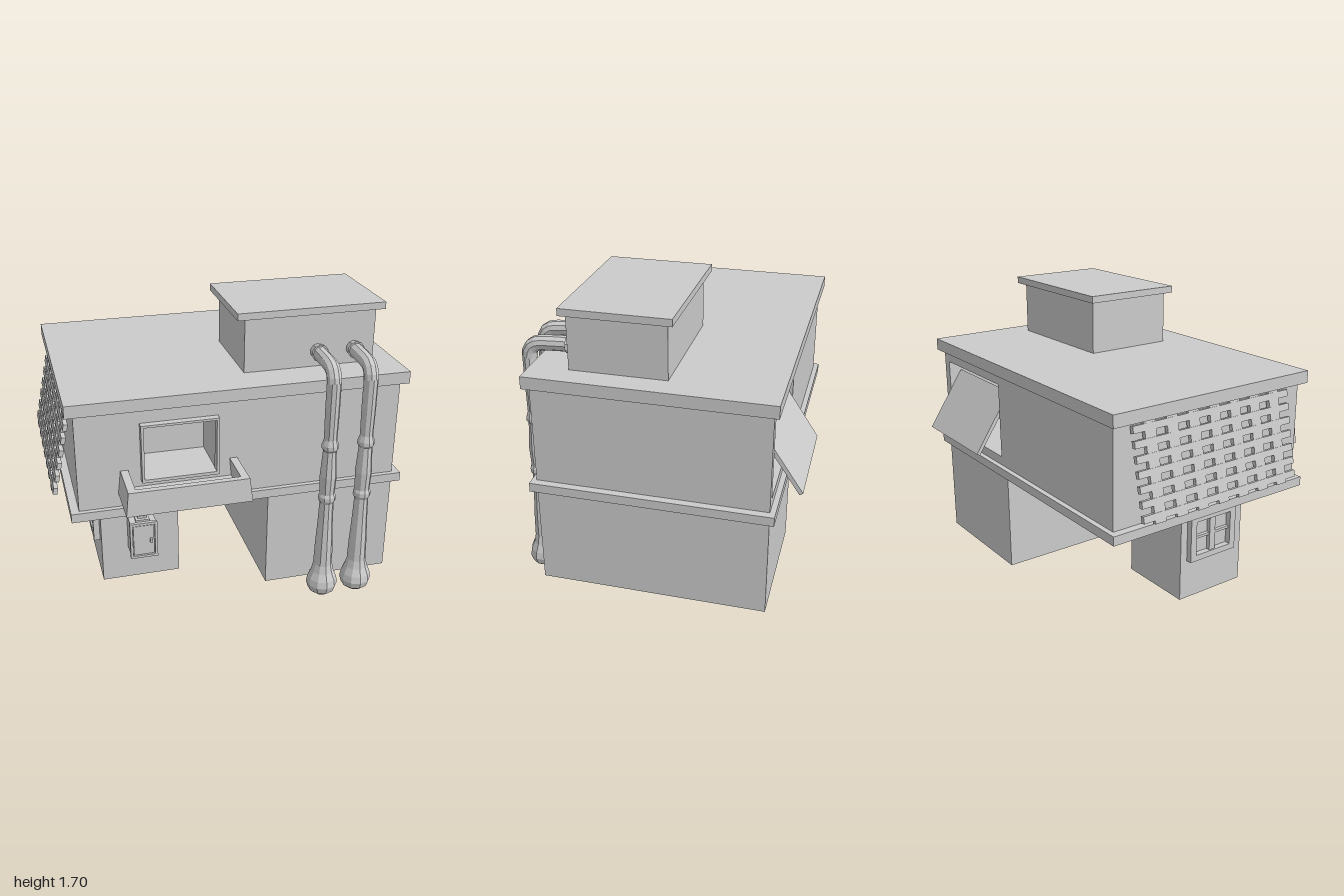
import * as THREE from 'three';

const grey = new THREE.MeshStandardMaterial({ color: 0xcccccc });
const faceted = new THREE.MeshStandardMaterial({ color: 0xcccccc, flatShading: true });

function add(parent, name, geometry, material = grey) {
  const mesh = new THREE.Mesh(geometry, material);
  mesh.name = name;
  parent.add(mesh);
  return mesh;
}

// Box given by its limits on each axis
function box(parent, name, x0, x1, y0, y1, z0, z1) {
  const mesh = add(parent, name, new THREE.BoxGeometry(x1 - x0, y1 - y0, z1 - z0));
  mesh.position.set((x0 + x1) / 2, (y0 + y1) / 2, (z0 + z1) / 2);
  return mesh;
}

function rect(Type, x0, x1, y0, y1) {
  return new Type([[x0, y0], [x1, y0], [x1, y1], [x0, y1]].map(p => new THREE.Vector2(...p)));
}

// Rectangular plate with a rectangular hole, extruded from z0 to z1
function ring(parent, name, outer, inner, z0, z1) {
  const shape = rect(THREE.Shape, ...outer);
  shape.holes.push(rect(THREE.Path, ...inner));
  const geo = new THREE.ExtrudeGeometry(shape, { depth: z1 - z0, bevelEnabled: false });
  return add(parent, name, geo.translate(0, 0, z0));
}

function group(parent, name) {
  const g = new THREE.Group();
  g.name = name;
  parent.add(g);
  return g;
}

// Tray that is slightly wider at its base, open on top and towards the wall
function addPlanter(parent) {
  const g = group(parent, 'planter');
  const pts = [[-0.34, 0], [-0.34, 0.26], [0.34, 0.26], [0.34, 0],
    [0.295, 0], [0.295, 0.225], [-0.295, 0.225], [-0.295, 0]];
  const shape = new THREE.Shape(pts.map(p => new THREE.Vector2(...p)));
  const geo = new THREE.ExtrudeGeometry(shape, { depth: 0.135, bevelEnabled: false });
  geo.rotateX(Math.PI / 2);
  const pos = geo.attributes.position;
  for (let i = 0; i < pos.count; i++) {
    if (pos.getY(i) > -0.01) {
      pos.setX(i, pos.getX(i) * 0.955);
      pos.setZ(i, pos.getZ(i) * 0.97);
    }
  }
  geo.computeVertexNormals();
  add(g, 'planterWalls', geo).position.set(-0.312, 0.942, 0.58);
  box(g, 'planterFloor', -0.63, 0.005, 0.808, 0.835, 0.58, 0.82);
}

// Slanted lattice: upright planks crossed by rungs
function addLattice(parent) {
  const g = group(parent, 'lattice');
  const length = 0.53, step = 1.06 / 15;
  for (let i = 0; i < 7; i++) {
    const z = -0.53 + step * (2 * i + 1);
    box(g, 'latticePlank', -0.012, 0.012, -length, 0, z, z + step);
  }
  const rise = length / 14;
  for (let i = 0; i < 7; i++) {
    const y = -length + rise * (2 * i + 0.5);
    box(g, 'latticeRung', -0.014, 0.01, y, y + rise, -0.53, 0.53);
  }
  g.position.set(-0.877, 1.287, -0.06);
  g.rotation.z = -Math.atan2(0.108, 0.52);
}

// Jointed pipe with a bulb at the foot and an elbow into the roof box
function addPipe(parent, x) {
  const g = group(parent, 'pipe');
  const profile = [[0, 0.01], [0.045, 0.016], [0.08, 0.045], [0.092, 0.085], [0.085, 0.125],
    [0.066, 0.17], [0.055, 0.22], [0.052, 0.34], [0.044, 0.5], [0.04, 0.63], [0.05, 0.65],
    [0.05, 0.672], [0.042, 0.69], [0.048, 0.8], [0.038, 0.96], [0.048, 0.975], [0.048, 0.995],
    [0.037, 1.03], [0.04, 1.2], [0.04, 1.37]].map(p => new THREE.Vector2(...p));
  add(g, 'pipeShaft', new THREE.LatheGeometry(profile, 10), faceted).position.set(x, 0, 0.66);
  const path = new THREE.CatmullRomCurve3([[1.36, 0.66], [1.405, 0.65], [1.435, 0.615],
    [1.443, 0.56], [1.448, 0.47], [1.45, 0.39]].map(([y, z]) => new THREE.Vector3(x, y, z)));
  add(g, 'pipeElbow', new THREE.TubeGeometry(path, 10, 0.042, 10), faceted);
  const flange = add(g, 'pipeFlange', new THREE.CylinderGeometry(0.042, 0.05, 0.05, 10), faceted);
  flange.rotation.x = -Math.PI / 2;
  flange.rotation.x *= -1;
  flange.rotation.z = Math.PI;
  flange.position.set(x, 1.45, 0.415);
}

// Small cabinet on the front of the narrow support
function addMailbox(parent) {
  const g = group(parent, 'mailbox');
  box(g, 'mailboxBody', -0.575, -0.425, 0.295, 0.515, 0.32, 0.44);
  ring(g, 'mailboxRim', [-0.58, -0.42, 0.29, 0.52], [-0.565, -0.435, 0.305, 0.505], 0.435, 0.455);
  box(g, 'mailboxDoor', -0.56, -0.44, 0.31, 0.5, 0.435, 0.45);
  box(g, 'mailboxHandle', -0.465, -0.45, 0.39, 0.415, 0.445, 0.465);
  box(g, 'mailboxCap', -0.54, -0.46, 0.515, 0.528, 0.35, 0.43);
  box(g, 'mailboxGrip', -0.525, -0.475, 0.525, 0.542, 0.37, 0.41);
}

// Framed window on the outer side of the narrow support
function addSideWindow(parent) {
  const g = group(parent, 'sideWindow');
  ring(g, 'sideWindowFrame', [-0.165, 0.165, 0.32, 0.595], [-0.125, 0.125, 0.355, 0.56], 0, 0.035);
  box(g, 'sideWindowMullion', -0.02, 0.02, 0.35, 0.565, 0, 0.025);
  box(g, 'sideWindowBar', -0.13, 0.13, 0.45, 0.465, 0, 0.02);
  g.rotation.y = -Math.PI / 2;
  g.position.set(-0.73, 0, 0.085);
}

export function createModel() {
  const model = new THREE.Group();
  model.name = 'house';

  // Supports and slabs
  box(model, 'wideSupport', 0.2, 0.955, 0.085, 0.68, -0.69, 0.58);
  box(model, 'narrowSupport', -0.73, -0.27, 0.085, 0.68, -0.125, 0.325);
  box(model, 'floorSlab', -0.915, 0.998, 0.675, 0.727, -0.72, 0.607);
  box(model, 'roofSlab', -0.915, 0.998, 1.29, 1.36, -0.72, 0.607);

  // Upper storey with a recess in its front and back walls
  const wall = [-0.87, 0.955, 0.72, 1.295];
  box(model, 'upperCore', ...wall, -0.32, 0.31);
  ring(model, 'frontWall', wall, [-0.51, -0.11, 0.89, 1.197], 0.31, 0.58);
  ring(model, 'backWall', wall, [0.265, 0.9, 0.78, 1.225], -0.69, -0.32);

  // Front window and tilted back shutter
  ring(model, 'frontWindowFrame', [-0.525, -0.097, 0.872, 1.21], [-0.51, -0.112, 0.89, 1.197], 0.57, 0.62);
  const shutter = box(model, 'backShutter', 0.275, 0.89, 0.785, 1.195, -0.733, -0.711);
  shutter.rotation.x = Math.atan2(0.23, 0.345);

  // Roof box
  box(model, 'roofBox', 0.1, 0.86, 1.35, 1.68, -0.135, 0.395);
  box(model, 'roofBoxCap', 0.052, 0.905, 1.67, 1.71, -0.17, 0.42);

  addPlanter(model);
  addLattice(model);
  addMailbox(model);
  addSideWindow(model);
  for (const x of [0.525, 0.738]) addPipe(model, x);
  return model;
}
